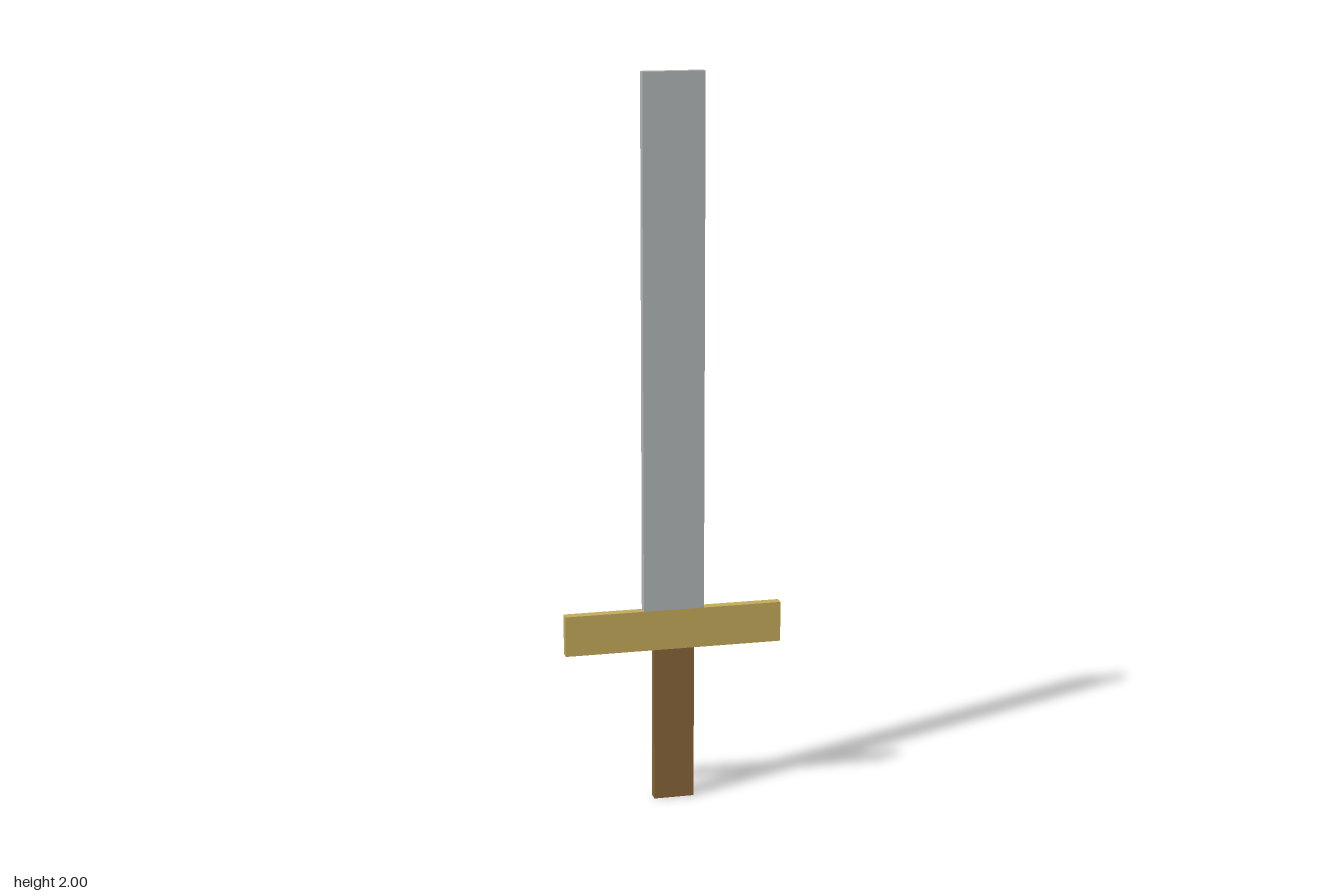
import * as THREE from 'three';

const DEPTH = 0.027;

function material(name, color) {
  const m = new THREE.MeshStandardMaterial({ color });
  m.name = name;
  return m;
}

// Flat slab spanning from one height to another, centred on x and z
function slab(name, width, bottom, top, mat) {
  const mesh = new THREE.Mesh(new THREE.BoxGeometry(width, top - bottom, DEPTH), mat);
  mesh.position.y = (bottom + top) / 2;
  mesh.name = name;
  return mesh;
}

export function createModel() {
  const steel = material('steel', 0xb0b4b5);
  const brass = material('brass', 0xc2a959);
  const wood = material('wood', 0x87653a);

  const sword = new THREE.Group();
  sword.name = 'sword';
  sword.add(
    slab('grip', 0.112, 0, 0.433, wood),
    slab('crossguard', 0.602, 0.433, 0.545, brass),
    slab('blade', 0.168, 0.545, 2, steel),
  );
  return sword;
}
